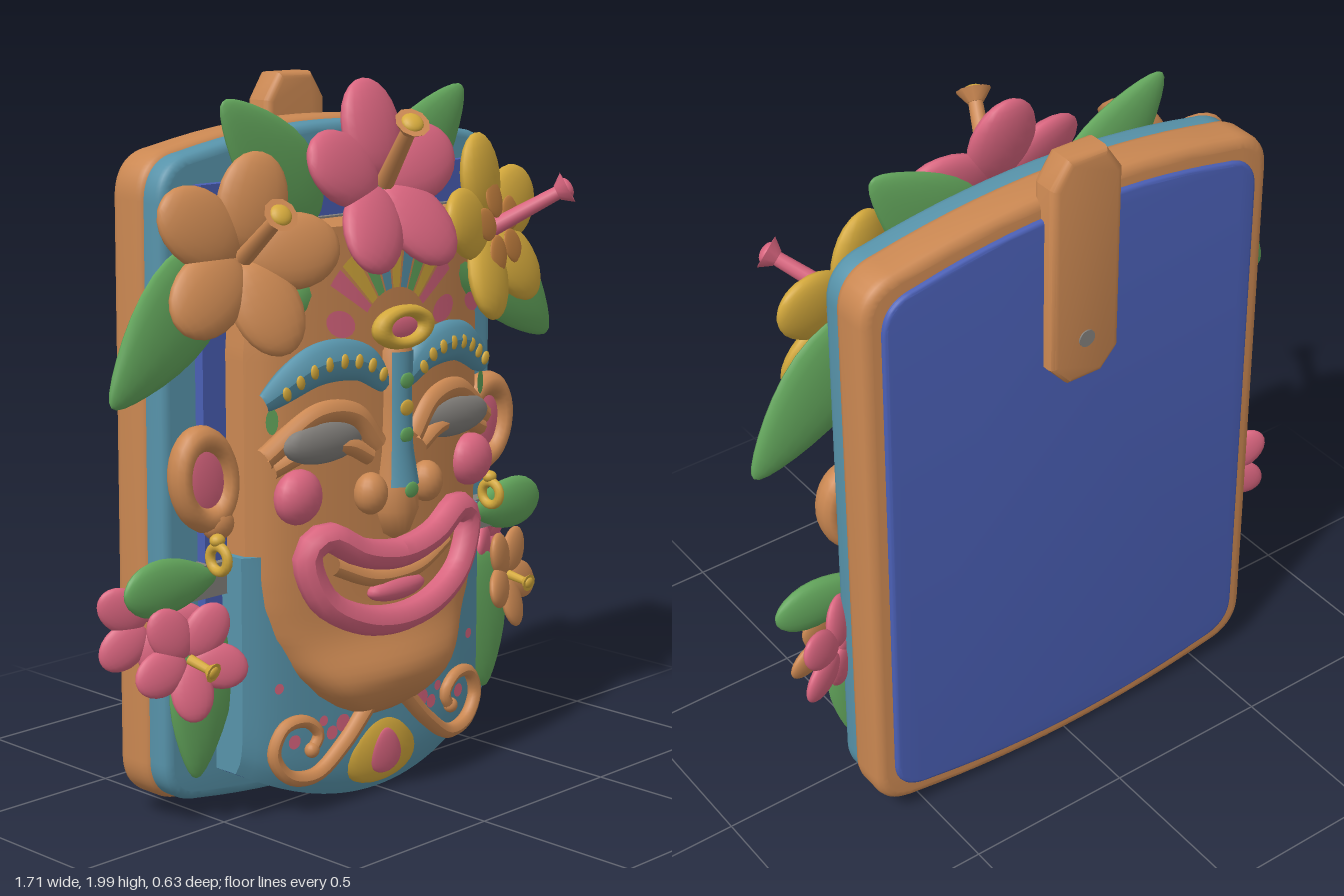
import * as THREE from 'three';
import { toCreasedNormals } from 'three/addons/utils/BufferGeometryUtils.js';

const colour = (name, hex) => {
  const m = new THREE.MeshStandardMaterial({ color: hex });
  m.name = name;
  return m;
};
const V = (x, y, z) => new THREE.Vector3(x, y, z);

export function createModel() {
  const root = new THREE.Group();
  const orange = colour('clay orange', 0xcb8852), pink = colour('pink', 0xd9657f);
  const yellow = colour('yellow', 0xd4a93c), green = colour('leaf green', 0x63a65c);
  const teal = colour('teal', 0x5793aa), blue = colour('blue', 0x4a5fb5);
  const grey = colour('grey', 0x83807c), amber = colour('amber', 0xc4803f);

  // Surface heights of the face, and of the body below it
  const F = (x, y) => 0.16 - 0.35 * x * x +
    0.06 * Math.exp(-(((y - 0.37) / 0.1) ** 2)) * Math.max(0, 1 - (x / 0.4) ** 2);
  const G = (x) => 0.12 - 0.2 * x * x;

  const add = (name, geo, mat, parent = root) => {
    const m = new THREE.Mesh(geo, mat);
    m.name = name;
    parent.add(m);
    return m;
  };
  const blob = (name, mat, x, y, z, sx, sy, sz, rz = 0, parent = root) => {
    const m = add(name, new THREE.SphereGeometry(1, 18, 12), mat, parent);
    m.position.set(x, y, z);
    m.scale.set(sx, sy, sz);
    m.rotation.z = rz;
    return m;
  };
  // Thin paint that follows a surface
  const paint = (name, geo, mat, x, y, surface = F, lift = 0.004) => {
    geo.translate(x, y, 0);
    const p = geo.attributes.position;
    for (let i = 0; i < p.count; i++) p.setZ(i, surface(p.getX(i), p.getY(i)) + lift);
    geo.computeVertexNormals();
    return add(name, geo, mat);
  };
  const dot = (rx, ry, rot = 0) => new THREE.RingGeometry(0, 1, 16, 3).scale(rx, ry, 1).rotateZ(rot);
  // Tube with optional taper and flattened depth
  const tube = (name, pts, r, mat, { taper = () => 1, flat = 1, closed = false } = {}) => {
    const curve = new THREE.CatmullRomCurve3(pts, closed), n = 48, m = 10;
    const geo = new THREE.TubeGeometry(curve, n, r, m, closed), p = geo.attributes.position;
    for (let i = 0; i < p.count; i++) {
      const t = Math.floor(i / (m + 1)) / n, c = curve.getPointAt(t), k = taper(t);
      p.setXYZ(i, c.x + (p.getX(i) - c.x) * k, c.y + (p.getY(i) - c.y) * k, c.z + (p.getZ(i) - c.z) * k * flat);
    }
    geo.computeVertexNormals();
    add(name, geo, mat);
    return curve;
  };
  // Curved front surface with walls running back to a plane; group 0 is the lower wall
  const relief = (name, fn, nu, nv, back, mats) => {
    const pos = [], idx = [], row = nu + 3;
    for (let j = -1; j <= nv + 1; j++) for (let i = -1; i <= nu + 1; i++) {
      const ci = Math.min(nu, Math.max(0, i)), cj = Math.min(nv, Math.max(0, j));
      const p = fn((2 * ci) / nu - 1, cj / nv);
      pos.push(p.x, p.y, ci !== i || cj !== j ? back : p.z);
    }
    for (let j = 0; j < nv + 2; j++) for (let i = 0; i < nu + 2; i++) {
      const a = j * row + i;
      idx.push(a, a + 1, a + row, a + 1, a + row + 1, a + row);
    }
    const g = new THREE.BufferGeometry();
    g.setAttribute('position', new THREE.Float32BufferAttribute(pos, 3));
    g.setIndex(idx);
    g.addGroup(0, (nu + 2) * 6, 0);
    g.addGroup((nu + 2) * 6, idx.length, 1);
    add(name, toCreasedNormals(g, 0.7), mats);
  };

  // Backboard layers
  const layer = (name, inset, z0, z1, b, mat) => {
    const w = 0.66 - inset - b, lo = 0.055 + inset + b, hi = 1.83 - inset - b, r = 0.1;
    const s = new THREE.Shape();
    s.moveTo(-w + r, lo);
    s.quadraticCurveTo(0, lo - 0.09, w - r, lo);
    s.quadraticCurveTo(w, lo + 0.01, w, lo + r);
    s.lineTo(w - 0.01, hi - r);
    s.quadraticCurveTo(w - 0.01, hi - 0.01, w - r, hi);
    s.quadraticCurveTo(0, hi + 0.11, -w + r, hi);
    s.quadraticCurveTo(-w + 0.01, hi - 0.01, -w + 0.01, hi - r);
    s.lineTo(-w, lo + r);
    s.quadraticCurveTo(-w, lo + 0.01, -w + r, lo);
    const g = new THREE.ExtrudeGeometry(s, { depth: z1 - z0 - 2 * b, bevelSize: b, bevelThickness: b, bevelSegments: 3, curveSegments: 14 });
    add(name, toCreasedNormals(g.translate(0, 0, z0 + b), 0.6), mat);
  };
  layer('boardFront', 0.01, -0.15, -0.06, 0.025, teal);
  layer('boardFrame', 0, -0.25, -0.12, 0.03, orange);
  layer('backPanel', 0.055, -0.265, -0.2, 0.01, blue);

  // Hanging tab
  const tab = new THREE.Shape([[-0.045, 1.34], [0.045, 1.34], [0.09, 1.39], [0.09, 1.92], [0.05, 1.98], [-0.05, 1.98], [-0.09, 1.92], [-0.09, 1.39]]
    .map(([x, y]) => new THREE.Vector2(x, y)));
  add('hangingTab', toCreasedNormals(new THREE.ExtrudeGeometry(tab, { depth: 0.05, bevelSize: 0.02, bevelThickness: 0.02, bevelSegments: 3 }).translate(0, 0, -0.285), 0.6), orange);
  const peg = add('tabHole', new THREE.CylinderGeometry(0.025, 0.025, 0.008, 18), grey);
  peg.rotation.x = Math.PI / 2;
  peg.position.set(0, 1.45, -0.305);

  // Head backing and spacer bars
  add('headBacking', new THREE.BoxGeometry(1.06, 1.2, 0.04).translate(0, 1.14, -0.05), blue);
  for (const y of [0.69, 1.58]) add('spacerBar', new THREE.BoxGeometry(1.2, 0.09, 0.05).translate(0, y, -0.035), grey);

  // Lower body and face
  relief('lowerBody', (u, v) => {
    const x = u * 0.47, lo = 0.01 + 0.6 * x * x;
    return V(x, lo + (0.75 - lo) * v, G(x) - 0.03 * u ** 8 - 0.03 * (1 - v) ** 16);
  }, 28, 20, -0.07, [blue, teal]);
  const jaw = [[0.24, 0.06], [0.27, 0.15], [0.33, 0.24], [0.42, 0.33], [0.52, 0.41], [0.6, 0.44], [0.68, 0.45], [1.3, 0.45], [1.62, 0.42]];
  const halfWidth = (y) => {
    const k = Math.max(1, jaw.findIndex((p) => p[0] >= y - 1e-6)), [a, b] = [jaw[k - 1], jaw[k]];
    return THREE.MathUtils.mapLinear(y, a[0], b[0], a[1], b[1]);
  };
  relief('face', (u, v) => {
    const y = Math.min(1.62, 0.24 + 1.38 * v), x = u * halfWidth(y);
    return V(x, y, F(x, y) - 0.05 * u ** 10 - 0.05 * (1 - v) ** 40);
  }, 30, 60, -0.05, [orange, orange]);

  // Forehead fan and bands
  const fan = [pink, yellow, green, teal, yellow, teal, green, yellow, pink];
  fan.forEach((mat, i) => {
    const step = 2 / fan.length;
    paint('foreheadRay', new THREE.RingGeometry(0.13, 0.28, 4, 6, Math.PI / 2 - 1 + i * step + 0.02, step - 0.04), mat, 0, 1.31);
  });

  // Nose with painted stripe
  const nosePts = [[0.001, 0.74], [0.045, 0.765], [0.07, 0.83], [0.066, 0.9], [0.05, 1], [0.045, 1.15], [0.05, 1.27], [0.001, 1.33]];
  const lathe = (pts, grow, ...arc) => new THREE.LatheGeometry(pts.map(([r, y]) => new THREE.Vector2(r + grow, y)), 18, ...arc);
  add('nose', lathe(nosePts, 0), orange).position.z = 0.155;
  add('noseStripe', lathe(nosePts.slice(3, 7), 0.004, -0.9, 1.8), teal).position.z = 0.155;
  for (let i = 0; i < 5; i++) blob('noseSpot', [green, yellow][i % 2], 0, 0.89 + i * 0.075, i < 1 ? 0.224 : 0.205, 0.026, 0.022, 0.006);
  const crown = add('noseCrown', new THREE.TorusGeometry(0.08, 0.03, 10, 28), yellow);
  crown.scale.set(1.05, 0.55, 0.8);
  crown.position.set(0, 1.335, 0.19);
  blob('crownCentre', pink, 0, 1.335, 0.185, 0.07, 0.035, 0.012);

  // Leaf pointing from a to b, and flower with petals and stamen
  const leaf = (x0, y0, x1, y1, z, w, name = 'leaf') => {
    const g = new THREE.SphereGeometry(1, 16, 14), p = g.attributes.position;
    for (let i = 0; i < p.count; i++) p.setX(i, p.getX(i) * (1 - 0.35 * p.getY(i)) * (1 - 0.15 * p.getY(i) ** 2));
    g.scale(w, Math.hypot(x1 - x0, y1 - y0) / 2, 0.032);
    g.computeVertexNormals();
    const m = add(name, g, green);
    m.position.set((x0 + x1) / 2, (y0 + y1) / 2, z);
    m.rotation.z = Math.atan2(y1 - y0, x1 - x0) - Math.PI / 2;
  };
  const flower = (name, c, normal, R, mat, spin, tip, stemMat, tipMat, centreMat) => {
    const f = new THREE.Group();
    f.name = name;
    f.position.copy(c);
    f.quaternion.setFromUnitVectors(V(0, 0, 1), normal.normalize());
    root.add(f);
    for (let i = 0; i < 5; i++) {
      const arm = new THREE.Group();
      arm.rotation.z = spin + (i * Math.PI * 2) / 5;
      f.add(arm);
      blob('petal', mat, 0, R * 0.53, 0, R * 0.37, R * 0.48, R * 0.14, 0, arm).rotation.x = 0.12;
      if (centreMat) blob('petalBlush', centreMat, 0, R * 0.3, R * 0.105, R * 0.17, R * 0.2, R * 0.03, 0, arm);
    }
    if (!tip) return;
    const s = new THREE.Group(), dir = tip.clone().sub(c), L = dir.length();
    s.name = 'stamen';
    s.position.copy(c);
    s.quaternion.setFromUnitVectors(V(0, 1, 0), dir.normalize());
    root.add(s);
    add('stem', new THREE.CylinderGeometry(R * 0.07, R * 0.09, L, 10).translate(0, L / 2, 0), stemMat, s);
    add('stamenCup', new THREE.CylinderGeometry(R * 0.17, R * 0.08, R * 0.12, 10).translate(0, L, 0), stemMat, s);
    blob('stamenTip', tipMat, 0, L + R * 0.05, 0, R * 0.11, R * 0.06, R * 0.11, 0, s);
  };

  for (const s of [-1, 1]) {
    const on = (x, y, lift = 0) => V(s * x, y, F(x, y) + lift);
    blob('nostril', orange, s * 0.11, 0.89, 0.175, 0.05, 0.058, 0.045);
    blob('cheek', pink, s * 0.34, 0.91, 0.13, 0.078, 0.075, 0.05);

    // Brows and closed eyes
    const brow = tube('eyebrow', [on(0.04, 1.18), on(0.13, 1.25), on(0.27, 1.26), on(0.43, 1.17)], 0.06, teal,
      { taper: (t) => Math.sin(Math.PI * (0.06 + 0.88 * t)) ** 0.5, flat: 0.65 });
    for (let i = 0; i < 8; i++) {
      const p = brow.getPointAt(0.12 + i * 0.11);
      blob('browSpot', yellow, p.x, p.y, p.z + 0.036, 0.014, 0.02, 0.007, s * 0.4 * (1 - i / 3.5));
    }
    tube('upperLid', [on(0.07, 1.02), on(0.15, 1.11), on(0.27, 1.125), on(0.43, 1.02)], 0.032, orange, { flat: 0.9 });
    blob('eyelid', grey, s * 0.25, 1.05, F(0.25, 1.05), 0.15, 0.06, 0.035);
    tube('lowerLid', [on(0.1, 0.99), on(0.18, 1.03), on(0.3, 1.03), on(0.41, 0.99)], 0.026, orange);
    paint('templeMark', dot(0.018, 0.035), green, s * 0.41, 1.12);
    paint('foreheadMark', dot(0.05, 0.035, s * 0.4), pink, s * 0.2, 1.36, F, 0.006);
    paint('foreheadMark', dot(0.04, 0.025, -s * 0.4), pink, s * 0.35, 1.36);

    // Ears and earrings
    const ear = add('ear', new THREE.TorusGeometry(0.1, 0.033, 12, 28), orange);
    ear.scale.set(0.82, 1.12, 1.2);
    ear.rotation.z = -s * 0.22;
    ear.position.set(s * 0.55, 0.97, -0.01);
    blob('innerEar', pink, s * 0.54, 0.97, -0.015, 0.08, 0.115, 0.025, -s * 0.22);
    blob('earLobe', orange, s * 0.51, 0.845, 0, 0.05, 0.045, 0.035);
    const ring = add('earring', new THREE.TorusGeometry(0.034, 0.014, 10, 20), yellow);
    ring.rotation.y = Math.PI / 2;
    ring.position.set(s * 0.54, 0.76, 0.035);
    blob('earringStud', yellow, s * 0.54, 0.81, 0.03, 0.022, 0.018, 0.02);

    // Scrolls and specks on the lower body
    tube('scroll', [[0.07, 0.28], [0.17, 0.18], [0.27, 0.115], [0.36, 0.13], [0.405, 0.2], [0.37, 0.27], [0.3, 0.275], [0.255, 0.23], [0.28, 0.185]]
      .map(([x, y]) => V(s * x, y, G(x) + 0.012)), 0.022, orange, { taper: (t) => 1.15 - 0.4 * t });
    blob('scrollEnd', orange, s * 0.28, 0.19, G(0.28) + 0.014, 0.022, 0.022, 0.02);
    for (const [x, y, r] of [[0.16, 0.24, 0.025], [0.2, 0.22, 0.02], [0.33, 0.22, 0.02], [0.23, 0.26, 0.015], [0.38, 0.38, 0.015]])
      paint('speck', dot(r, r), pink, s * x, y, G);

    // Leaves
    leaf(s * 0.12, 1.62, s * 0.46, 1.95, -0.02, 0.12, 'topLeaf');
    leaf(s * 0.46, 1.57, s * 0.85, 1.2, -0.02, 0.13, 'sideLeaf');
    leaf(s * 0.04, 1.6, s * 0.42, 1.36, 0.1, 0.08, 'innerLeaf');
    leaf(s * 0.54, 0.58, s * 0.58, 0.15, -0.02, 0.11, 'lowerLeaf');
    leaf(s * 0.82, 0.7, s * 0.5, 0.7, -0.02, 0.075, 'smallLeaf');
    flower('rearFlower', V(s * 0.68, 0.58, -0.09), V(s * 0.45, 0, 0.9), 0.16, pink, s * 0.3);
  }

  // Mouth
  const half = [[0.14, 0.73], [0.26, 0.79], [0.315, 0.75], [0.27, 0.62], [0.15, 0.545]];
  const lips = [[0, 0.705], ...half, [0, 0.52], ...half.map(([x, y]) => [-x, y]).reverse()];
  tube('lips', lips.map(([x, y]) => V(x, y, 0.175 - 0.35 * x * x)), 0.042, pink, { closed: true });
  tube('gum', [[-0.22, 0.7], [-0.1, 0.65], [0, 0.64], [0.1, 0.65], [0.22, 0.7]].map(([x, y]) => V(x, y, F(x, y))), 0.025, orange);
  blob('tongue', pink, 0, 0.605, 0.165, 0.11, 0.035, 0.035);

  // Flame emblem at the foot
  const flame = new THREE.SphereGeometry(1, 18, 14), fp = flame.attributes.position;
  for (let i = 0; i < fp.count; i++) fp.setX(i, fp.getX(i) * (1 - 0.3 * fp.getY(i)));
  add('flame', flame.clone().scale(0.135, 0.1, 0.03), yellow).position.set(0, 0.13, 0.105);
  add('flameCentre', flame.clone().scale(0.06, 0.065, 0.012), pink).position.set(0, 0.125, 0.128);

  // Flowers
  flower('topFlower', V(0, 1.72, 0.12), V(0, 0.35, 0.94), 0.285, pink, 0, V(-0.06, 1.88, 0.27), orange, yellow);
  flower('leftCrownFlower', V(0.48, 1.55, 0.08), V(0.25, 0.2, 0.95), 0.275, yellow, 0.15, V(0.61, 1.66, 0.23), pink, pink, amber);
  flower('rightCrownFlower', V(-0.48, 1.56, 0.08), V(-0.25, 0.2, 0.95), 0.275, orange, -0.3, V(-0.53, 1.68, 0.26), orange, yellow);
  flower('leftLowerFlower', V(0.62, 0.5, 0.04), V(0.3, 0.15, 0.9), 0.155, orange, 0.6, V(0.62, 0.49, 0.11), yellow, yellow);
  flower('rightLowerFlower', V(-0.65, 0.51, 0.04), V(-0.3, 0.15, 0.9), 0.165, pink, 0.6, V(-0.64, 0.49, 0.11), yellow, yellow);
  return root;
}
